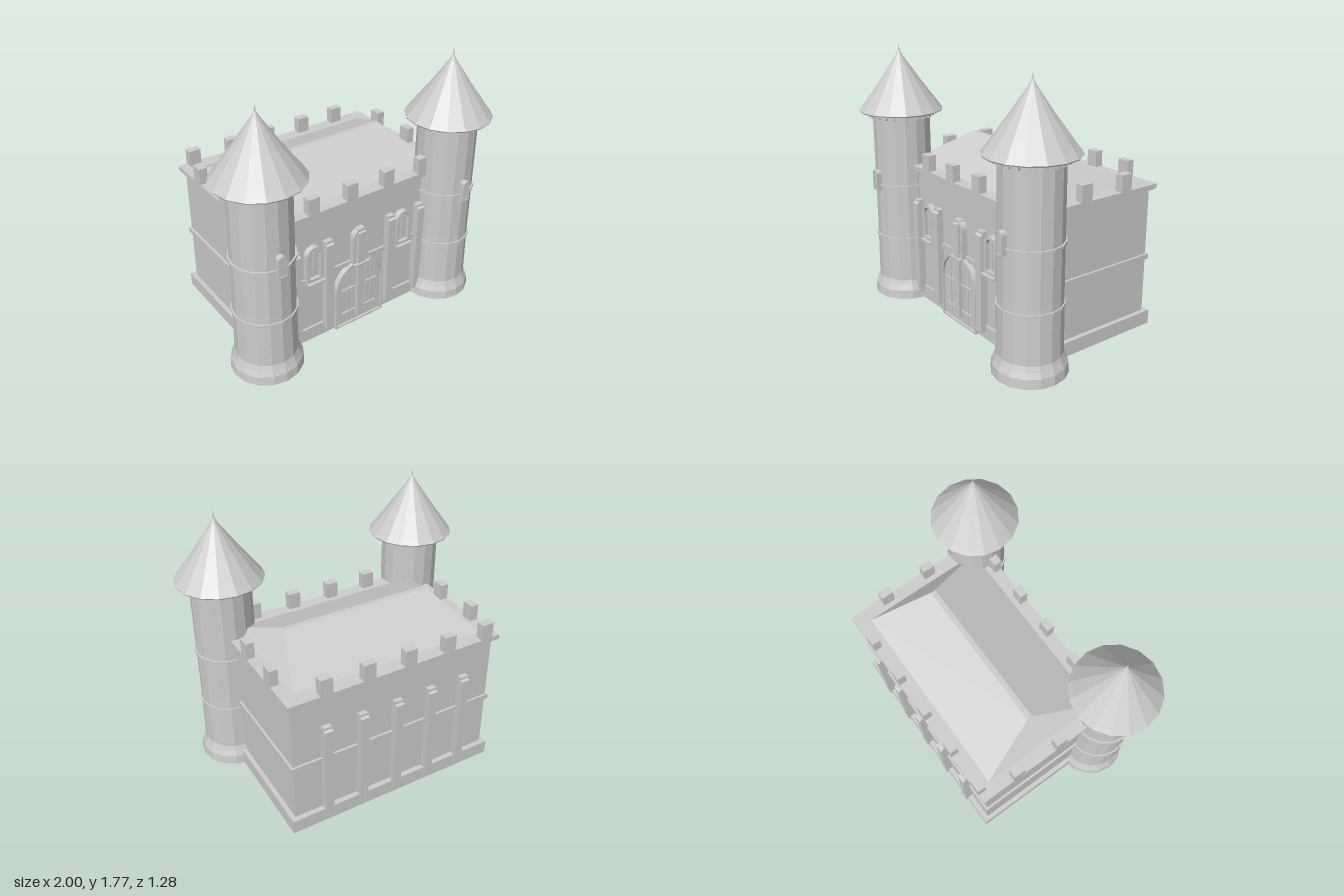
import * as THREE from 'three';

const stone = new THREE.MeshStandardMaterial({ color: 0xcccccc });
stone.name = 'stone';
stone.flatShading = true;

function add(parent, name, geometry, x = 0, y = 0, z = 0) {
  const mesh = new THREE.Mesh(geometry, stone);
  mesh.name = name;
  mesh.position.set(x, y, z);
  parent.add(mesh);
  return mesh;
}

// Box given by its limits on each axis
function block(parent, name, x0, x1, y0, y1, z0, z1) {
  return add(parent, name, new THREE.BoxGeometry(x1 - x0, y1 - y0, z1 - z0),
    (x0 + x1) / 2, (y0 + y1) / 2, (z0 + z1) / 2);
}

// Round-topped outline standing on y = 0
function arch(Type, halfWidth, height, inset = 0) {
  const path = new Type();
  const r = halfWidth - inset;
  path.moveTo(-r, inset);
  path.lineTo(r, inset);
  path.lineTo(r, height - halfWidth);
  path.absarc(0, height - halfWidth, r, 0, Math.PI, false);
  path.closePath();
  return path;
}

function extrude(shape, depth) {
  return new THREE.ExtrudeGeometry(shape, { depth, bevelEnabled: false, curveSegments: 10 });
}

function archFrame(halfWidth, height, inset, depth) {
  const shape = arch(THREE.Shape, halfWidth, height);
  shape.holes.push(arch(THREE.Path, halfWidth, height, inset));
  return extrude(shape, depth);
}

// Narrow arched window with sill, panel and slit
function makeWindow(x) {
  const g = new THREE.Group();
  g.name = 'archedWindow';
  g.position.set(x, 0.48, 0.35);
  add(g, 'windowFrame', archFrame(0.062, 0.255, 0.022, 0.04));
  add(g, 'windowPanel', extrude(arch(THREE.Shape, 0.045, 0.24), 0.015));
  block(g, 'windowSlit', -0.004, 0.004, 0.03, 0.21, 0.01, 0.022);
  block(g, 'windowSill', -0.062, 0.062, -0.012, 0.002, 0, 0.062);
  return g;
}

// Buttress with a stepped cap
function buttressGeometry() {
  const points = [[0, 0.05], [0.05, 0.05], [0.05, 0.71], [0.035, 0.72], [0.035, 0.735], [0, 0.735]];
  const shape = new THREE.Shape(points.map(([x, y]) => new THREE.Vector2(x, y)));
  return extrude(shape, 0.058).translate(0, 0, -0.029).rotateY(-Math.PI / 2);
}

// Hipped roof with a narrow flat ridge
function roofGeometry() {
  const y0 = 0.97, y1 = 1.145;
  const ring = (x, z0, z1, y) => [[-x, y, z1], [x, y, z1], [x, y, z0], [-x, y, z0]];
  const low = ring(0.665, -0.54, 0.31, y0);
  const high = ring(0.52, -0.135, -0.1, y1);
  const pos = [];
  const quad = (a, b, c, d) => pos.push(...a, ...b, ...c, ...a, ...c, ...d);
  for (let i = 0; i < 4; i++) {
    const j = (i + 1) % 4;
    quad(low[i], low[j], high[j], high[i]);
  }
  quad(...high);
  const g = new THREE.BufferGeometry();
  g.setAttribute('position', new THREE.Float32BufferAttribute(pos, 3));
  g.computeVertexNormals();
  return g;
}

function lathe(points, sides = 16) {
  return new THREE.LatheGeometry(points.map(([r, y]) => new THREE.Vector2(r, y)), sides);
}

function makeTower(x) {
  const g = new THREE.Group();
  g.name = 'tower';
  g.position.set(x, 0, 0.357);
  add(g, 'towerShaft', lathe([[0, 0], [0.235, 0], [0.23, 0.06], [0.215, 0.095],
    [0.203, 0.13], [0.197, 0.5], [0.195, 1.33], [0, 1.33]]));
  for (const y of [0.443, 0.823]) {
    add(g, 'towerBand', lathe([[0.19, y - 0.008], [0.208, y - 0.008], [0.208, y + 0.008], [0.19, y + 0.008]]));
  }
  // Small brackets under the eaves
  add(g, 'eavesRing', lathe([[0.19, 1.305], [0.233, 1.305], [0.233, 1.33], [0.19, 1.33]]));
  for (let i = 0; i < 24; i++) {
    const a = (i / 24) * Math.PI * 2;
    const b = add(g, 'eavesBracket', new THREE.BoxGeometry(0.022, 0.018, 0.035),
      Math.sin(a) * 0.207, 1.298, Math.cos(a) * 0.207);
    b.rotation.y = a;
  }
  // Flared pointed roof
  add(g, 'towerRoof', lathe([[0, 1.325], [0.28, 1.325], [0.285, 1.333], [0.262, 1.362], [0.203, 1.442],
    [0.135, 1.535], [0.07, 1.63], [0.025, 1.695], [0.006, 1.73], [0.001, 1.77]]));
  // Window slot on the front
  add(g, 'towerWindow', archFrame(0.028, 0.145, 0.006, 0.04), 0, 0.785, 0.188);
  add(g, 'towerWindowPanel', extrude(arch(THREE.Shape, 0.026, 0.142), 0.034), 0, 0.785, 0.188);
  return g;
}

export function createModel() {
  const model = new THREE.Group();
  model.name = 'castle';

  // Main hall
  block(model, 'walls', -0.72, 0.72, 0, 0.95, -0.59, 0.35);
  block(model, 'plinth', -0.75, 0.75, 0, 0.095, -0.625, 0.365);
  block(model, 'stringCourse', -0.735, 0.735, 0.465, 0.498, -0.605, 0.365);
  block(model, 'corniceLower', -0.738, 0.738, 0.935, 0.95, -0.615, 0.378);
  block(model, 'cornice', -0.75, 0.75, 0.945, 0.975, -0.627, 0.387);
  add(model, 'hallRoof', roofGeometry());

  // Battlements
  for (let i = 0; i < 5; i++) {
    const x = -0.65 + i * 0.288;
    block(model, 'backMerlon', x - 0.041, x + 0.041, 0.975, 1.083, -0.627, -0.572);
    if (i > 0) block(model, 'frontMerlon', x - 0.041, x + 0.041, 0.975, 1.083, 0.332, 0.387);
  }
  for (const s of [-1, 1]) {
    for (const z of [-0.36, -0.035]) {
      add(model, 'sideMerlon', new THREE.BoxGeometry(0.055, 0.108, 0.082), s * 0.7225, 1.029, z);
    }
  }

  // Buttresses on the front and back
  const buttress = buttressGeometry();
  for (let i = -2; i <= 2; i++) {
    add(model, 'frontButtress', buttress, i * 0.25, 0, 0.35);
    add(model, 'backButtress', buttress, i * 0.25, 0, -0.59).rotation.y = Math.PI;
  }

  // Front windows
  for (const x of [-0.36, 0, 0.36]) model.add(makeWindow(x));

  // Arched gate with ironwork
  const gate = new THREE.Group();
  gate.name = 'gate';
  gate.position.z = 0.35;
  add(gate, 'gateFrame', archFrame(0.195, 0.49, 0.012, 0.038));
  add(gate, 'gateLeaves', extrude(arch(THREE.Shape, 0.188, 0.483), 0.022));
  for (const s of [-1, 1]) {
    for (const x of [0.055, 0.1]) {
      block(gate, 'gateBar', s * x - 0.003, s * x + 0.003, 0.02, 0.42, 0.015, 0.028);
    }
    for (const y of [0.1, 0.29]) {
      block(gate, 'gateHinge', s * 0.085 - 0.055, s * 0.085 + 0.055, y - 0.006, y + 0.006, 0.015, 0.034);
    }
  }
  model.add(gate);

  for (const s of [-1, 1]) model.add(makeTower(s * 0.715));
  return model;
}
